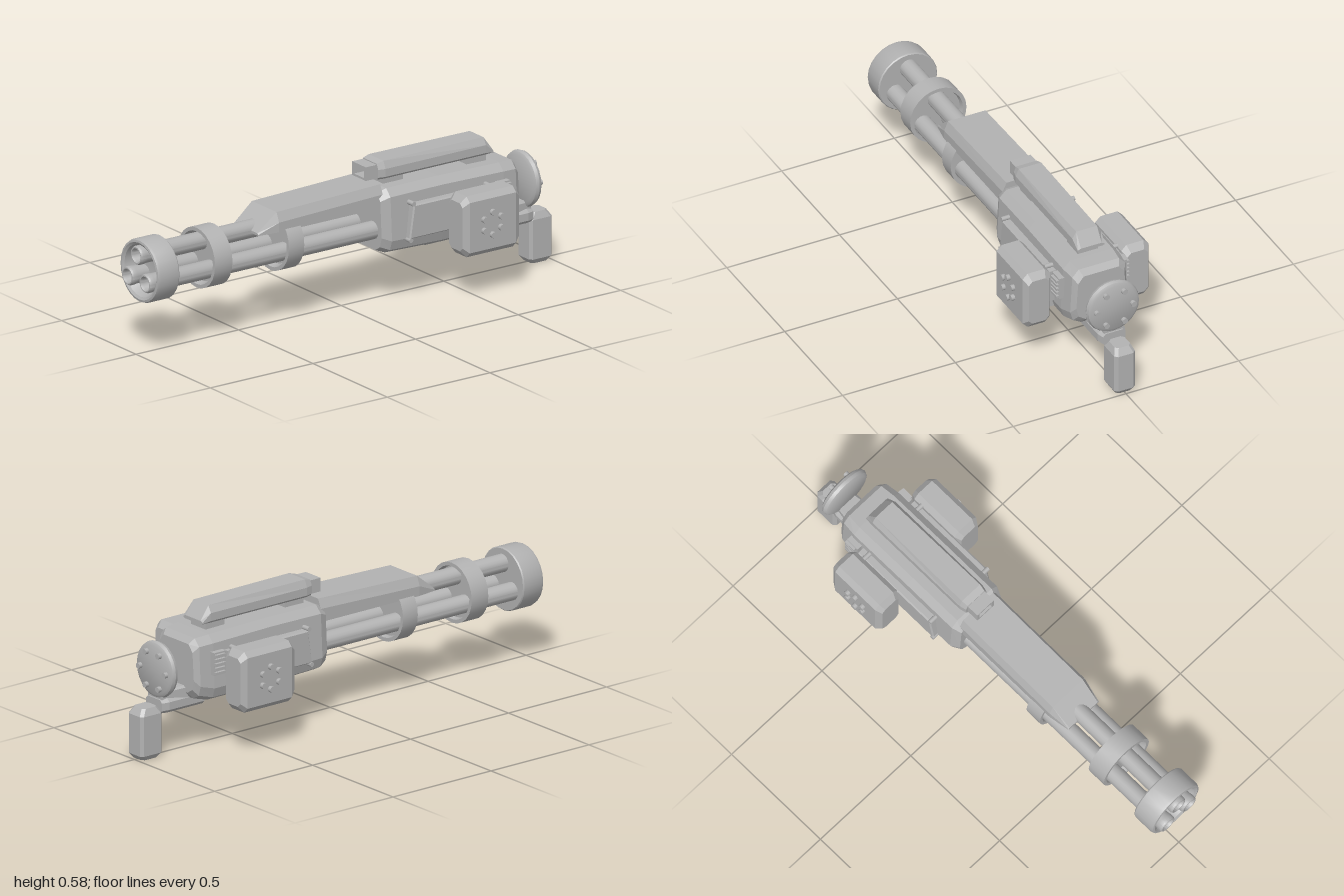
import * as THREE from 'three';
import { toCreasedNormals } from 'three/addons/utils/BufferGeometryUtils.js';

const steel = new THREE.MeshStandardMaterial({ color: 0xb2b2b2 });
steel.name = 'steel grey';

// Flat-sided skin over cross-sections [z, [[x, y], ...]], ordered by rising z, counter-clockwise from +z.
function loft(sections) {
  const pos = [];
  const put = (i, j) => {
    const ring = sections[i][1];
    const p = ring[j % ring.length];
    pos.push(p[0], p[1], sections[i][0]);
  };
  const n = sections[0][1].length;
  const last = sections.length - 1;
  for (let i = 0; i < last; i++) {
    for (let j = 0; j < n; j++) {
      put(i, j); put(i, j + 1); put(i + 1, j + 1);
      put(i, j); put(i + 1, j + 1); put(i + 1, j);
    }
  }
  for (let j = 1; j < n - 1; j++) {
    put(0, 0); put(0, j + 1); put(0, j);
    put(last, 0); put(last, j); put(last, j + 1);
  }
  const g = new THREE.BufferGeometry();
  g.setAttribute('position', new THREE.Float32BufferAttribute(pos, 3));
  g.computeVertexNormals();
  return g;
}

// Rectangle with cut corners: half width, half height, cut, centre height.
const octagon = (w, h, c, y = 0) => [
  [w, y - h + c], [w, y + h - c], [w - c, y + h], [-w + c, y + h],
  [-w, y + h - c], [-w, y - h + c], [-w + c, y - h], [w - c, y - h],
];

// Symmetric section from its +x points, listed bottom to top.
const mirrored = (pts) => [...pts, ...pts.map(([x, y]) => [-x, y]).reverse()];

// Box with every edge chamfered.
function chamferBox(w, h, d, c) {
  const a = w / 2, b = h / 2, e = d / 2;
  return loft([
    [-e, octagon(a - c, b - c, c * 0.5)],
    [-e + c, octagon(a, b, c)],
    [e - c, octagon(a, b, c)],
    [e, octagon(a - c, b - c, c * 0.5)],
  ]);
}

// Turned part lying along z, from [radius, z] points.
function turned(profile, sides = 24) {
  const g = new THREE.LatheGeometry(profile.map(([r, z]) => new THREE.Vector2(r, z)), sides);
  g.rotateX(Math.PI / 2);
  return toCreasedNormals(g, 0.6);
}

export function createModel() {
  const model = new THREE.Group();
  model.name = 'rotaryCannon';
  const add = (name, geometry, x = 0, y = 0, z = 0) => {
    const m = new THREE.Mesh(geometry, steel);
    m.name = name;
    m.position.set(x, y, z);
    model.add(m);
    return m;
  };
  const axisY = 0.344;

  // Three hollow barrels around the axis
  for (let i = 0; i < 3; i++) {
    const a = Math.PI / 2 + (i * Math.PI * 2) / 3;
    add('barrel', turned([
      [0, -0.13], [0.037, -0.13], [0.037, 0.965], [0.039, 0.975], [0.039, 0.993],
      [0.035, 1], [0.03, 1], [0.026, 0.99], [0.026, 0.86], [0, 0.86],
    ], 18), 0.068 * Math.cos(a), axisY + 0.068 * Math.sin(a), 0);
  }

  // Dished muzzle clamp and two plain clamps
  add('muzzleClamp', turned([
    [0, 0.88], [0.127, 0.88], [0.131, 0.885], [0.131, 0.972], [0.127, 0.983],
    [0.118, 0.985], [0.108, 0.978], [0.09, 0.93], [0, 0.91],
  ]), 0, axisY, 0);
  for (const [back, front] of [[0.62, 0.705], [0.27, 0.345]]) {
    add('barrelClamp', turned([
      [0, back + 0.02], [0.105, back + 0.02], [0.11, back], [0.125, back], [0.125, front],
      [0.11, front], [0.1, front - 0.025], [0, front - 0.025],
    ]), 0, axisY, 0);
  }

  // Sloping shroud over the barrels
  add('barrelShroud', loft([
    [-0.13, mirrored([[0.1, 0.41], [0.1, 0.465], [0.083, 0.504]])],
    [0.375, mirrored([[0.1, 0.41], [0.1, 0.45], [0.083, 0.49]])],
    [0.465, mirrored([[0.084, 0.408], [0.084, 0.412], [0.078, 0.418]])],
  ]));

  // Main body
  const bodyRing = (s, low, high) => mirrored([
    [0.085 * s, low], [0.122 * s, low + 0.02], [0.135 * s, low + 0.06],
    [0.125 * s, high - 0.03], [0.095 * s, high],
  ]);
  add('body', loft([
    [-0.787, bodyRing(0.82, 0.25, 0.455)],
    [-0.765, bodyRing(0.94, 0.225, 0.478)],
    [-0.7, bodyRing(1, 0.207, 0.482)],
    [-0.4, bodyRing(1, 0.207, 0.488)],
    [-0.15, bodyRing(1, 0.215, 0.486)],
    [-0.112, bodyRing(0.87, 0.23, 0.47)],
  ]));
  add('bellyPanel', chamferBox(0.12, 0.02, 0.22, 0.005), 0, 0.203, -0.47);

  // Top housing on two feet, with a hooded front window
  for (const z of [-0.22, -0.625]) {
    add('housingFoot', new THREE.BoxGeometry(0.09, 0.045, 0.095), 0, 0.497, z);
  }
  const topRing = (w, t, high) => mirrored([[w - 0.008, 0.511], [w, 0.52], [w, 0.553], [t, high]]);
  add('topHousing', loft([
    [-0.7, mirrored([[0.052, 0.511], [0.06, 0.515], [0.06, 0.52], [0.046, 0.525]])],
    [-0.66, topRing(0.063, 0.046, 0.582)],
    [-0.17, topRing(0.063, 0.05, 0.584)],
    [-0.14, topRing(0.056, 0.046, 0.576)],
  ]));
  const hood = new THREE.Shape([[-0.046, 0.515], [0.046, 0.515], [0.046, 0.572], [-0.046, 0.572]]
    .map(([x, y]) => new THREE.Vector2(x, y)));
  hood.holes.push(new THREE.Path([[-0.034, 0.524], [-0.034, 0.563], [0.034, 0.563], [0.034, 0.524]]
    .map(([x, y]) => new THREE.Vector2(x, y))));
  add('housingHood', new THREE.ExtrudeGeometry(hood, { depth: 0.055, bevelEnabled: false }), 0, 0, -0.142);

  for (const side of [-1, 1]) {
    // Side drum box with six bolts
    add('sideBox', loft([
      [-0.675, octagon(0.045, 0.1, 0.016)],
      [-0.65, octagon(0.06, 0.127, 0.022)],
      [-0.425, octagon(0.06, 0.127, 0.022)],
      [-0.4, octagon(0.045, 0.1, 0.016)],
    ]), side * 0.219, 0.314, 0);
    for (let i = 0; i < 6; i++) {
      const a = Math.PI / 6 + (i * Math.PI) / 3;
      const bolt = add('sideBolt', new THREE.CylinderGeometry(0.013, 0.013, 0.03, 10),
        side * 0.279, 0.314 + 0.047 * Math.sin(a), -0.534 + 0.047 * Math.cos(a));
      bolt.rotation.z = Math.PI / 2;
    }

    // Tapered side plate, with a raised rim step
    const plate = new THREE.Shape([[0.245, 0.41], [0.225, 0.28], [0.64, 0.28], [0.64, 0.41]]
      .map(([z, y]) => new THREE.Vector2(z, y)));
    const plateGeo = new THREE.ExtrudeGeometry(plate,
      { depth: 0.028, bevelThickness: 0.006, bevelSize: 0.005, bevelSegments: 1 });
    plateGeo.rotateY(Math.PI / 2);
    add('sidePlate', plateGeo, side > 0 ? 0.126 : -0.154, 0, 0);
    const mount = add('boxMount', new THREE.BoxGeometry(0.06, 0.17, 0.17), side * 0.14, 0.315, -0.535);
    mount.scale.y = 1;

    // Pins at the plate corners
    for (const [y, z] of [[0.42, -0.238], [0.27, -0.225], [0.42, -0.61], [0.27, -0.61]]) {
      const pin = add('platePin', new THREE.CylinderGeometry(0.01, 0.01, 0.05, 10), side * 0.137, y, z);
      pin.rotation.z = Math.PI / 2;
    }

    // Rear vent with ribs
    add('ventFrame', new THREE.BoxGeometry(0.03, 0.095, 0.06), side * 0.135, 0.373, -0.685);
    for (let i = 0; i < 5; i++) {
      add('ventRib', new THREE.BoxGeometry(0.014, 0.01, 0.05), side * 0.155, 0.337 + i * 0.018, -0.69);
    }
  }

  // Rear bracket, stepped up to the wheel
  add('rearBracket', loft([
    [-0.9, octagon(0.05, 0.028, 0.012, 0.208)],
    [-0.87, octagon(0.06, 0.03, 0.014, 0.21)],
    [-0.69, octagon(0.06, 0.03, 0.014, 0.21)],
  ]));
  add('bracketStep', loft([
    [-0.895, octagon(0.042, 0.025, 0.008, 0.247)],
    [-0.77, octagon(0.06, 0.03, 0.008, 0.247)],
  ]));

  // Rear wheel with six bolts
  add('rearWheel', turned([
    [0, -0.902], [0.1, -0.902], [0.112, -0.895], [0.117, -0.883], [0.112, -0.87], [0.1, -0.863], [0, -0.863],
  ]), 0, 0.352, 0);
  for (let i = 0; i < 6; i++) {
    const a = (i * Math.PI) / 3;
    const bolt = add('wheelBolt', new THREE.CylinderGeometry(0.012, 0.012, 0.024, 10),
      0.08 * Math.cos(a), 0.352 + 0.08 * Math.sin(a), -0.905);
    bolt.rotation.x = Math.PI / 2;
  }

  // Hanging grip
  const grip = loft([
    [0, octagon(0.034, 0.04, 0.012)],
    [0.02, octagon(0.046, 0.055, 0.012)],
    [0.185, octagon(0.046, 0.055, 0.012)],
    [0.213, octagon(0.034, 0.036, 0.012)],
  ]);
  grip.rotateX(-Math.PI / 2);
  add('grip', grip, 0, 0, -0.945);

  return model;
}
